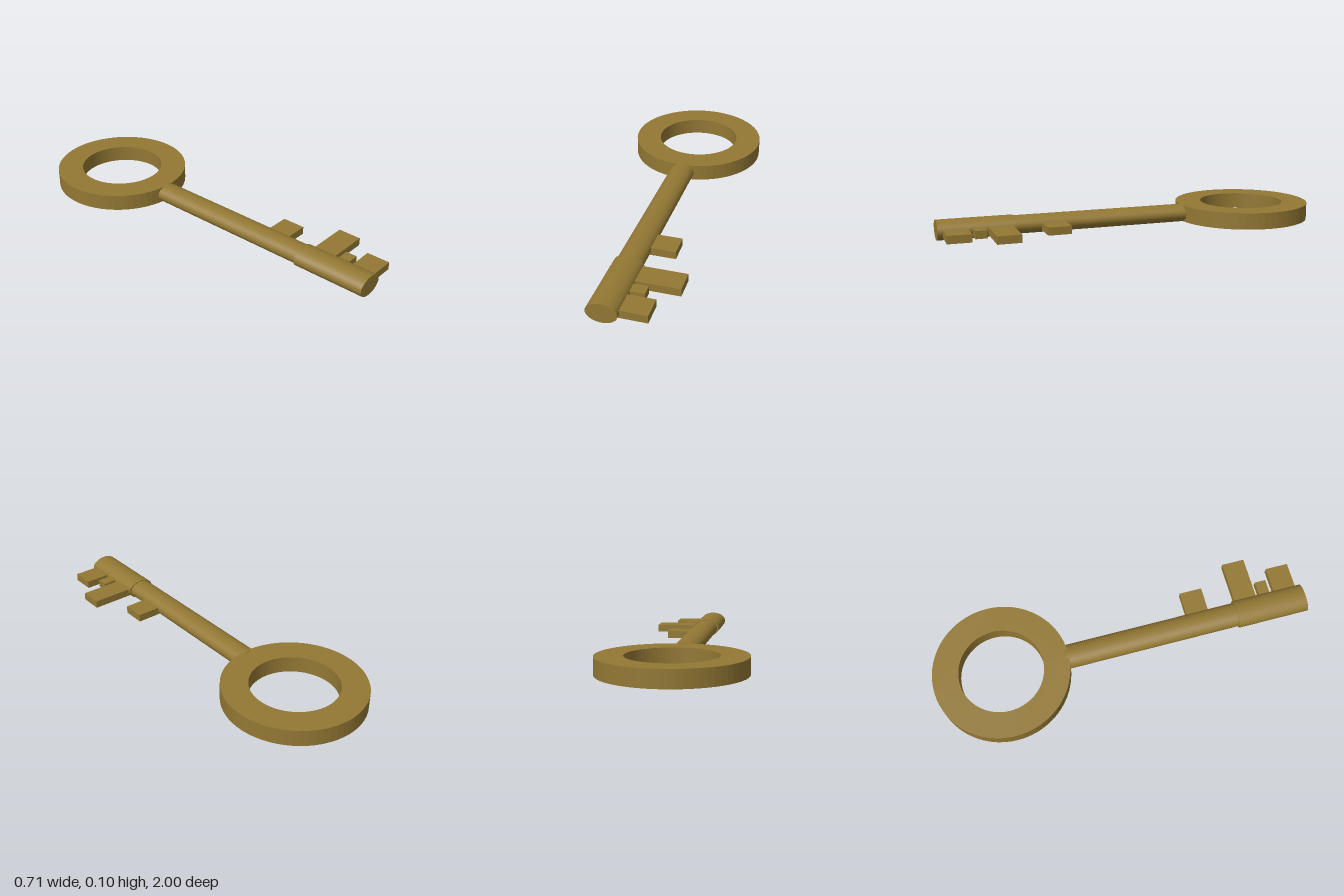
import * as THREE from 'three';

export function createModel() {
  const key = new THREE.Group();
  key.name = 'key';
  const brass = new THREE.MeshStandardMaterial({ color: 0x937834 });
  const facetedBrass = new THREE.MeshStandardMaterial({ color: 0x937834, flatShading: true });

  const add = (name, geometry, material = brass) => {
    const mesh = new THREE.Mesh(geometry, material);
    mesh.name = name;
    key.add(mesh);
    return mesh;
  };

  // Flat ring handle, lying in the xz plane
  const ring = new THREE.Shape().absarc(0, 0, 0.355, 0, Math.PI * 2, false);
  ring.holes.push(new THREE.Path().absarc(0, 0, 0.22, 0, Math.PI * 2, true));
  const bow = new THREE.ExtrudeGeometry(ring, { depth: 0.085, bevelEnabled: false, curveSegments: 32 });
  bow.rotateX(-Math.PI / 2).translate(0, 0.008, -0.645);
  add('bow', bow, facetedBrass);

  // Oval rod along z
  const rod = (name, rx, ry, z0, z1) => {
    const geometry = new THREE.CylinderGeometry(1, 1, z1 - z0, 48);
    geometry.rotateX(Math.PI / 2).scale(rx, ry, 1).translate(0, 0.05, (z0 + z1) / 2);
    add(name, geometry);
  };
  rod('shaft', 0.065, 0.046, -0.305, 0.63);
  rod('collar', 0.075, 0.05, 0.62, 1);

  // Teeth on the left side: [outer x, z start, z end]
  const teeth = [
    [0.187, 0.365, 0.485],
    [0.29, 0.635, 0.755],
    [0.145, 0.773, 0.832],
    [0.205, 0.855, 0.975],
  ];
  const root = 0.03;
  teeth.forEach(([x, z0, z1], i) => {
    const geometry = new THREE.BoxGeometry(x - root, 0.04, z1 - z0);
    geometry.translate((x + root) / 2, 0.043, (z0 + z1) / 2);
    add(`tooth${i + 1}`, geometry);
  });

  return key;
}
